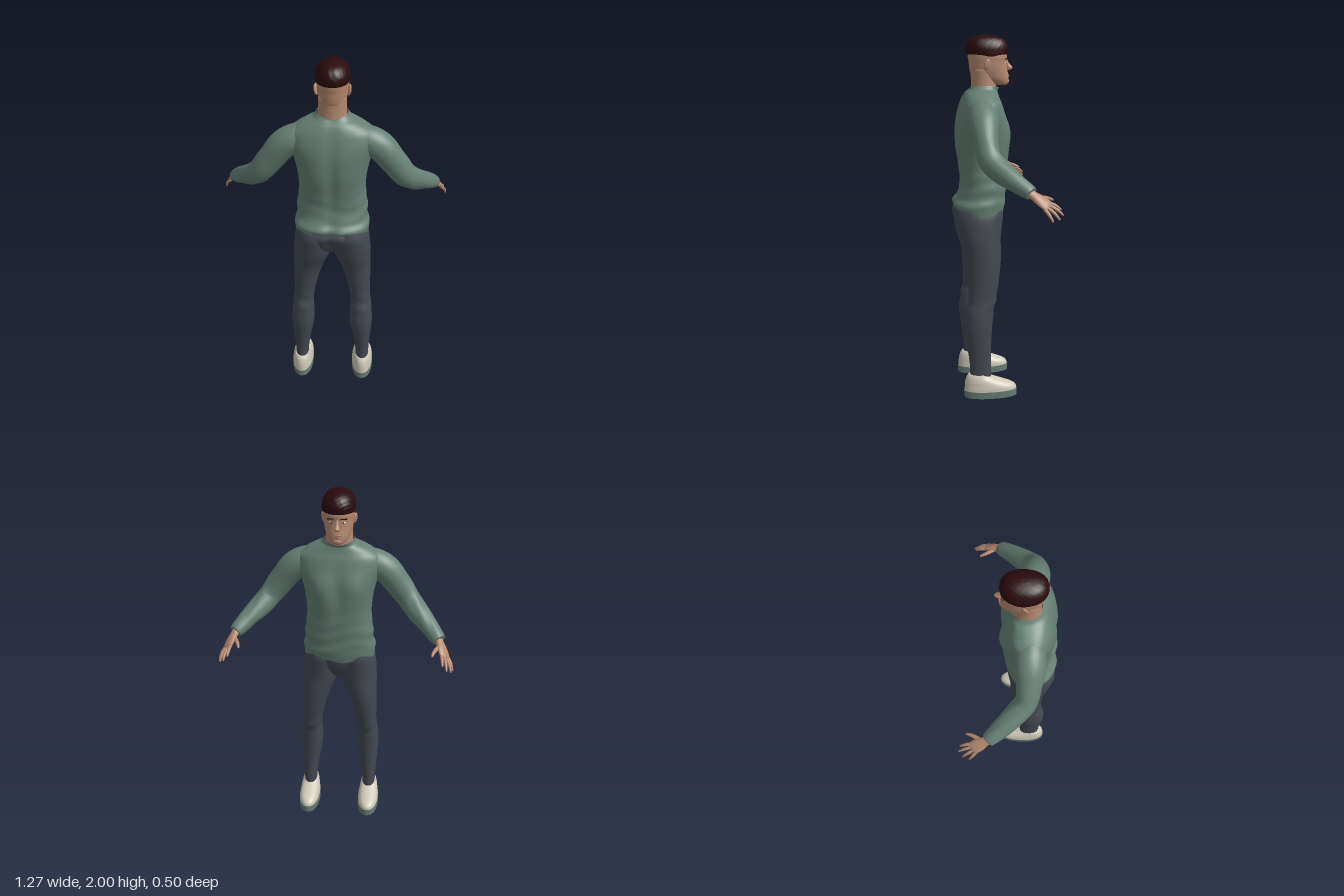
import * as THREE from 'three';

const mat = (name, color, side = THREE.FrontSide) => {
  const m = new THREE.MeshStandardMaterial({ color, side });
  m.name = name;
  return m;
};
const UP = new THREE.Vector3(0, 1, 0), DOWN = new THREE.Vector3(0, -1, 0), BACK = new THREE.Vector3(0, 0, 1);
const gauss = (d, w) => Math.exp(-(d * d) / (w * w));

// Point on a superellipse of half sizes a, b
function oval(t, a, b, n = 2) {
  const f = (c) => Math.sign(c) * Math.pow(Math.abs(c), 2 / n);
  return [a * f(Math.cos(t)), b * f(Math.sin(t))];
}

// Smooth interpolation through rows of numbers
function refine(rows, steps) {
  const out = [], last = rows.length - 1;
  for (let i = 0; i < last; i++) {
    const [p, q, r, s] = [rows[Math.max(i - 1, 0)], rows[i], rows[i + 1], rows[Math.min(i + 2, last)]];
    for (let k = 0; k < steps; k++) {
      const t = k / steps;
      out.push(q.map((v, c) => v + 0.5 * t * (r[c] - p[c]
        + t * (2 * p[c] - 5 * v + 4 * r[c] - s[c] + t * (3 * (v - r[c]) + s[c] - p[c])))));
    }
  }
  out.push(rows[last]);
  return out;
}

// Skin through oval sections [x, y, z, halfWidth, halfDepth]; axis points from first to last section
function loft(rows, { axis = null, ref = BACK, n = 2, seg = 28, steps = 5, caps = true, deform = null } = {}) {
  const S = refine(rows, steps), pos = [], idx = [];
  const C = S.map((r) => new THREE.Vector3(r[0], r[1], r[2]));
  const end = S.length - 1;
  S.forEach((r, i) => {
    const T = axis ? axis.clone() : C[Math.min(i + 1, end)].clone().sub(C[Math.max(i - 1, 0)]).normalize();
    const U = T.clone().cross(ref).normalize(), V = U.clone().cross(T);
    for (let j = 0; j < seg; j++) {
      const [a, b] = oval(j / seg * Math.PI * 2, r[3], r[4], n);
      const p = C[i].clone().addScaledVector(U, a).addScaledVector(V, b);
      if (deform) deform(p);
      pos.push(p.x, p.y, p.z);
      if (i < end) {
        const A = i * seg + j, B = i * seg + (j + 1) % seg;
        idx.push(A, A + seg, B, B, A + seg, B + seg);
      }
    }
  });
  if (caps) for (const i of [0, end]) {
    const c = pos.length / 3;
    pos.push(...C[i].toArray());
    for (let j = 0; j < seg; j++) {
      const A = i * seg + j, B = i * seg + (j + 1) % seg;
      if (i === 0) idx.push(c, A, B); else idx.push(c, B, A);
    }
  }
  const g = new THREE.BufferGeometry();
  g.setAttribute('position', new THREE.Float32BufferAttribute(pos, 3));
  g.setIndex(idx);
  g.computeVertexNormals();
  return g;
}

// Upright sections given as [y, halfWidth, zFront, zBack], optionally shifted in x
const upright = (rows, x = 0) => rows.map(([y, w, f, b]) => [x, y, (f + b) / 2, w, (b - f) / 2]);

export function createModel() {
  const model = new THREE.Group();
  model.name = 'standingMan';
  const skin = mat('skin', 0xb58970), hair = mat('hair', 0x290b0e);
  const shirt = mat('sweater', 0x667f74, THREE.DoubleSide), pants = mat('trousers', 0x434850);
  const cream = mat('shoeUpper', 0xcfc9b9), sole = mat('shoeSole', 0x667b73);
  const white = mat('eyeWhite', 0xd8d2ca), lip = mat('lips', 0xa1705c);
  const add = (name, geo, m, parent = model) => {
    const mesh = new THREE.Mesh(geo, m);
    mesh.name = name;
    parent.add(mesh);
    return mesh;
  };
  const blob = (name, m, p, s, parent) => {
    const b = add(name, new THREE.SphereGeometry(1, 20, 14), m, parent);
    b.position.set(...p);
    b.scale.set(...s);
    return b;
  };

  // Sweater body with chest, spine groove, waist folds, wavy hem and collar
  add('sweaterBody', loft(upright([
    [1.03, 0.2, -0.03, 0.232], [1.085, 0.204, -0.042, 0.25], [1.13, 0.194, -0.045, 0.222],
    [1.2, 0.19, -0.05, 0.205], [1.3, 0.179, -0.057, 0.215], [1.4, 0.186, -0.064, 0.23],
    [1.5, 0.207, -0.058, 0.23], [1.57, 0.23, -0.042, 0.22], [1.63, 0.223, -0.026, 0.203],
    [1.665, 0.185, -0.013, 0.189], [1.69, 0.142, -0.006, 0.175], [1.71, 0.1, -0.004, 0.16], [1.735, 0.082, -0.012, 0.147],
  ]), { axis: UP, n: 2.3, seg: 64, steps: 6, caps: false, deform: (p) => {
    const ax = Math.abs(p.x), low = gauss(p.y - 1.17, 0.12);
    if (p.z < 0.05) p.z += 0.012 * gauss(p.x, 0.03) * gauss(p.y - 1.46, 0.12) - 0.015 * gauss(ax - 0.1, 0.06) * gauss(p.y - 1.48, 0.08);
    else p.z -= gauss(p.x, 0.03) * (0.014 * gauss(p.y - 1.4, 0.25) + 0.014 * gauss(p.y - 1.07, 0.06));
    const fold = 1 + 0.012 * low * Math.sin(p.y * 75 + 2 * Math.sin(p.x * 16) + p.z * 9);
    p.x *= fold;
    p.z = 0.08 + (p.z - 0.08) * fold;
    p.y += gauss(p.y - 1.03, 0.04) * (0.008 * Math.sin(p.x * 38 + p.z * 20) + 0.12 * Math.max(0, p.z - 0.08));
    p.y -= 0.02 * gauss(p.y - 1.735, 0.025) * gauss(p.x, 0.06);
  } }), shirt);

  // Trouser seat bridging the tops of the two legs
  add('trouserSeat', loft(upright([
    [0.885, 0.02, 0.07, 0.12], [0.905, 0.06, 0.035, 0.165], [0.95, 0.13, 0.003, 0.213],
    [1.0, 0.178, -0.014, 0.236], [1.05, 0.197, -0.023, 0.243], [1.12, 0.18, -0.025, 0.19],
  ]), { axis: UP, n: 2.3, seg: 48, deform: (p) => {
    if (p.z > 0.1) p.z -= 0.022 * gauss(p.x, 0.025) * gauss(p.y - 0.98, 0.08);
  } }), pants);

  // Neck and head
  const head = new THREE.Group();
  head.name = 'head';
  model.add(head);
  add('neck', loft(upright([[1.66, 0.078, 0, 0.145], [1.74, 0.073, 0.004, 0.14], [1.82, 0.073, 0.005, 0.143]]), { axis: UP }), skin, head);
  add('skull', loft(upright([
    [1.733, 0.025, -0.052, 0.01], [1.742, 0.043, -0.064, 0.05], [1.765, 0.061, -0.066, 0.11],
    [1.79, 0.07, -0.064, 0.14], [1.82, 0.077, -0.058, 0.148], [1.86, 0.081, -0.055, 0.152],
    [1.89, 0.083, -0.058, 0.157], [1.94, 0.078, -0.045, 0.155], [1.98, 0.045, 0, 0.1],
  ]), { axis: UP, n: 2.15, seg: 40 }), skin, head);
  add('hair', loft(upright([
    [1.897, 0.083, -0.057, 0.158], [1.904, 0.086, -0.062, 0.165], [1.933, 0.0865, -0.064, 0.169],
    [1.96, 0.077, -0.054, 0.16], [1.98, 0.061, -0.036, 0.142], [1.993, 0.038, -0.006, 0.112], [2.0, 0.012, 0.035, 0.07],
  ]), { axis: UP, n: 2.2, seg: 72, steps: 7, deform: (p) => {
    const k = 1 + 0.012 * Math.sin(p.x * 210 + p.y * 90) * Math.sin(p.z * 190 + p.y * 160);
    p.x *= k;
    p.z = 0.05 + (p.z - 0.05) * k;
    p.y -= 0.012 * gauss(p.y - 1.89, 0.02) * gauss(p.z - 0.04, 0.04);
  } }), hair, head);
  add('nose', loft([
    [0, 1.868, -0.05, 0.007, 0.009], [0, 1.845, -0.061, 0.009, 0.012],
    [0, 1.826, -0.072, 0.014, 0.018], [0, 1.813, -0.064, 0.012, 0.012],
  ], { axis: DOWN, seg: 14 }), skin, head);
  blob('upperLip', lip, [0, 1.789, -0.062], [0.022, 0.004, 0.008], head);
  blob('lowerLip', lip, [0, 1.78, -0.063], [0.019, 0.005, 0.008], head);
  blob('chin', skin, [0, 1.754, -0.055], [0.025, 0.016, 0.014], head);

  for (const s of [1, -1]) {
    const side = s > 0 ? 'left' : 'right';
    const flip = (rows) => rows.map(([x, ...rest]) => [x * s, ...rest]);

    // Face features and ears
    blob(side + 'Eye', white, [0.031 * s, 1.853, -0.043], [0.013, 0.005, 0.009], head);
    blob(side + 'Iris', hair, [0.031 * s, 1.853, -0.049], [0.0045, 0.0045, 0.004], head);
    const brow = add(side + 'Brow', new THREE.BoxGeometry(0.034, 0.005, 0.008), hair, head);
    brow.position.set(0.034 * s, 1.873, -0.049);
    brow.rotation.set(0, -0.3 * s, -0.08 * s);
    blob(side + 'Ear', skin, [0.084 * s, 1.845, 0.06], [0.009, 0.031, 0.019], head).rotation.set(-0.15, 0.45 * s, -0.12 * s);

    // Sleeve from inside the shoulder to the cuff
    add(side + 'Sleeve', loft(flip([
      [0.07, 1.625, 0.095, 0.04, 0.05], [0.17, 1.594, 0.098, 0.073, 0.074], [0.25, 1.55, 0.1, 0.078, 0.078],
      [0.32, 1.465, 0.1, 0.066, 0.072], [0.38, 1.385, 0.09, 0.06, 0.066], [0.425, 1.337, 0.05, 0.06, 0.061],
      [0.495, 1.28, -0.025, 0.052, 0.05], [0.54, 1.243, -0.08, 0.043, 0.04], [0.555, 1.23, -0.098, 0.038, 0.034],
    ]), { ref: UP, seg: 32, deform: (p) => {
      p.y += 0.003 * Math.sin(p.x * 90 * s + p.z * 40) * gauss(Math.abs(p.x) - 0.45, 0.1);
    } }), shirt);

    // Hand: palm and five fingers
    const hand = new THREE.Group();
    hand.name = side + 'Hand';
    model.add(hand);
    const palmNormal = new THREE.Vector3(0.66 * s, 0.69, -0.28);
    add('palm', loft(flip([
      [0.545, 1.24, -0.08, 0.026, 0.022], [0.558, 1.222, -0.108, 0.026, 0.019], [0.572, 1.2, -0.14, 0.035, 0.017],
      [0.585, 1.177, -0.17, 0.036, 0.013], [0.589, 1.168, -0.182, 0.028, 0.008],
    ]), { ref: palmNormal, seg: 20 }), skin, hand);
    const fingers = [
      ['thumb', [0.556, 1.212, -0.13], [0.53, 1.203, -0.18], [0.518, 1.19, -0.215]],
      ['indexFinger', [0.566, 1.19, -0.168], [0.572, 1.173, -0.215], [0.575, 1.15, -0.245]],
      ['middleFinger', [0.58, 1.178, -0.172], [0.592, 1.155, -0.22], [0.598, 1.126, -0.252]],
      ['ringFinger', [0.593, 1.168, -0.167], [0.612, 1.14, -0.205], [0.622, 1.108, -0.23]],
      ['littleFinger', [0.602, 1.162, -0.155], [0.622, 1.132, -0.178], [0.632, 1.1, -0.195]],
    ];
    for (const [name, a, b, c] of fingers) {
      const r = name === 'thumb' ? 0.0115 : 0.0095;
      add(name, loft(flip([[...a, r, r], [...b, r * 0.9, r * 0.9], [...c, r * 0.5, r * 0.5]]),
        { ref: palmNormal, seg: 10, steps: 4 }), skin, hand);
    }

    // Trouser leg from waist to ankle
    add(side + 'TrouserLeg', loft(flip([
      [0.098, 1.07, 0.108, 0.09, 0.125], [0.101, 1.03, 0.11, 0.1, 0.132], [0.105, 0.98, 0.11, 0.104, 0.126],
      [0.111, 0.9, 0.107, 0.104, 0.114], [0.132, 0.8, 0.093, 0.085, 0.099], [0.148, 0.7, 0.093, 0.07, 0.089],
      [0.162, 0.58, 0.1, 0.058, 0.078], [0.168, 0.5, 0.116, 0.062, 0.077], [0.17, 0.4, 0.125, 0.065, 0.076],
      [0.176, 0.28, 0.122, 0.051, 0.066], [0.18, 0.18, 0.116, 0.04, 0.06], [0.181, 0.1, 0.116, 0.038, 0.06],
    ]), { axis: DOWN, n: 2.1, seg: 36, deform: (p) => {
      p.z += 0.003 * Math.sin(p.y * 70 + p.x * 20) * gauss(p.y - 0.55, 0.09);
    } }), pants);

    // Shoe: upper, rim-like sole and recessed underside
    const shoe = new THREE.Group();
    shoe.name = side + 'Shoe';
    model.add(shoe);
    add('shoeUpper', loft(upright([
      [0.034, 0.061, -0.088, 0.208], [0.055, 0.06, -0.083, 0.207], [0.072, 0.057, -0.06, 0.206],
      [0.092, 0.053, -0.005, 0.203], [0.115, 0.046, 0.055, 0.196], [0.132, 0.04, 0.075, 0.184],
    ], 0.182 * s), { axis: UP, n: 2.2, seg: 40 }), cream, shoe);
    const ring = (k) => Array.from({ length: 48 }, (_, i) =>
      new THREE.Vector2(...oval(i / 48 * Math.PI * 2, 0.0625 * k, 0.15 - 0.0625 * (1 - k), 2.2)));
    const outline = new THREE.Shape(ring(1));
    outline.holes.push(new THREE.Path(ring(0.78)));
    const rim = add('soleRim', new THREE.ExtrudeGeometry(outline, { depth: 0.038, bevelEnabled: false }), sole, shoe);
    const under = add('soleUnderside', new THREE.ExtrudeGeometry(new THREE.Shape(ring(0.82)), { depth: 0.009, bevelEnabled: false }), cream, shoe);
    rim.rotation.x = under.rotation.x = -Math.PI / 2;
    rim.position.set(0.182 * s, 0, 0.06);
    under.position.set(0.182 * s, 0.015, 0.06);
  }
  return model;
}
